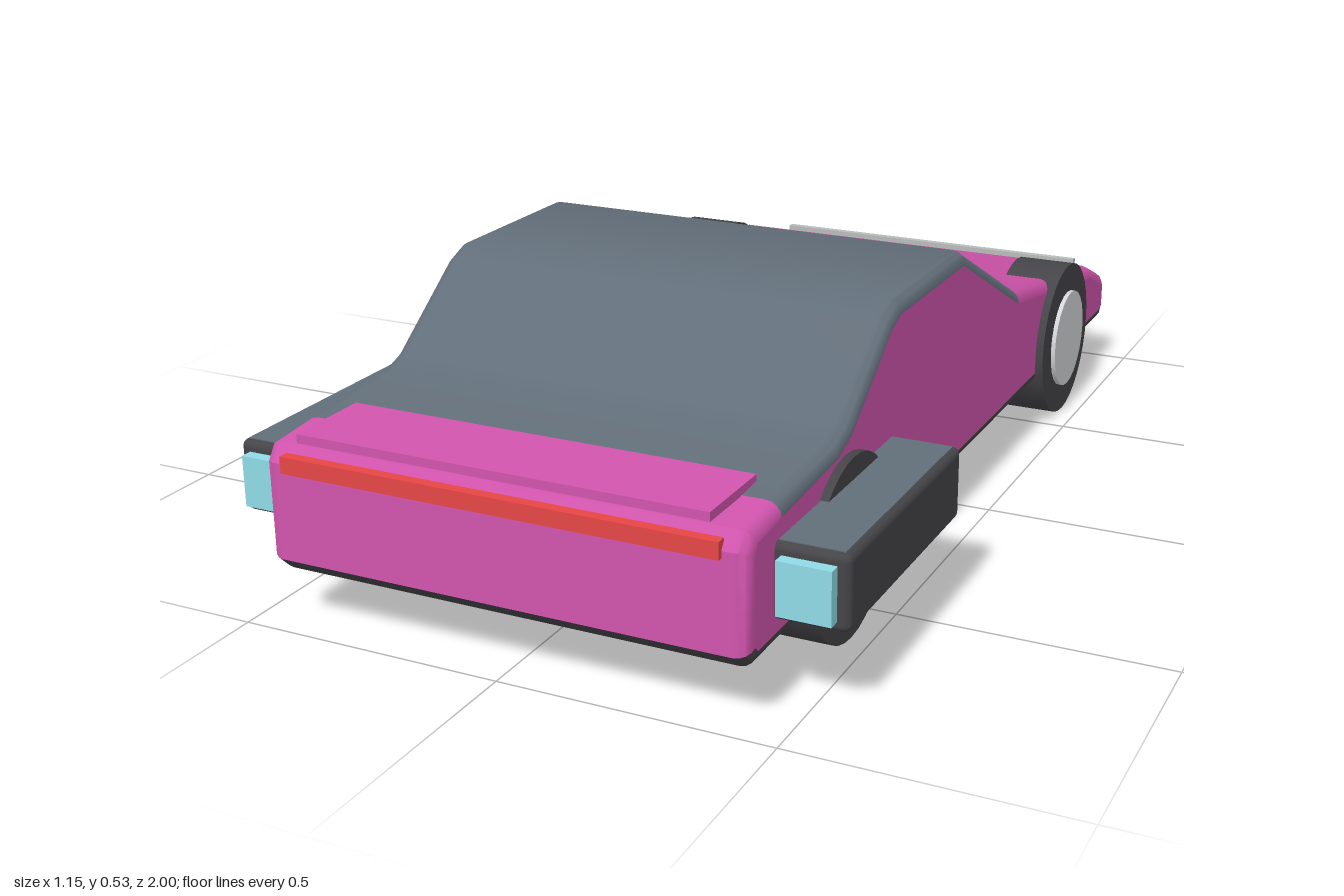
import * as THREE from 'three';
import { toCreasedNormals } from 'three/addons/utils/BufferGeometryUtils.js';
import { RoundedBoxGeometry } from 'three/addons/geometries/RoundedBoxGeometry.js';

const mat = (name, color) => {
  const m = new THREE.MeshStandardMaterial({ color });
  m.name = name;
  return m;
};

// Bevelled side profile; triangles sorted into paint, glass and underside groups
function bodyGeometry() {
  const profile = [
    [0.965, 0.105], [0.99, 0.13], [0.99, 0.305], [0.97, 0.336], [0.87, 0.345],
    [0.65, 0.36], [0.6, 0.378], [0.425, 0.508], [0.375, 0.528], [0.04, 0.528],
    [-0.315, 0.352], [-0.86, 0.258], [-0.966, 0.213], [-0.985, 0.19],
    [-0.985, 0.13], [-0.96, 0.105],
  ];
  const bevel = 0.026, halfWidth = 0.447;
  const depth = 2 * (halfWidth - bevel);
  const shape = new THREE.Shape(profile.map(([z, y]) => new THREE.Vector2(z, y)));
  let geo = new THREE.ExtrudeGeometry(shape, {
    depth, bevelEnabled: true, bevelSize: bevel, bevelOffset: -bevel,
    bevelThickness: bevel, bevelSegments: 4,
  });
  geo.translate(0, 0, -depth / 2);
  geo.rotateY(-Math.PI / 2);
  geo = toCreasedNormals(geo, 0.5);
  geo.clearGroups();

  const pos = geo.attributes.position, nor = geo.attributes.normal;
  const lists = [[], [], []];
  const tri = new THREE.Triangle(), n = new THREE.Vector3(), c = new THREE.Vector3();
  for (let i = 0; i < pos.count; i += 3) {
    tri.setFromAttributeAndIndices(pos, i, i + 1, i + 2);
    tri.getNormal(n);
    tri.getMidpoint(c);
    const flank = Math.abs(n.x) > 0.995;
    // Keep the flat flanks and floor evenly shaded
    if (flank || n.y < -0.99) for (let k = 0; k < 3; k++) nor.setXYZ(i + k, n.x, n.y, n.z);
    let group = 0;
    if (!flank && c.y < 0.14) group = 2;
    else if (!flank && c.y > 0.31 && c.z > -0.315 && c.z < 0.87) group = 1;
    lists[group].push(i, i + 1, i + 2);
  }
  geo.setIndex(lists.flat());
  let start = 0;
  lists.forEach((list, g) => {
    geo.addGroup(start, list.length, g);
    start += list.length;
  });
  return geo;
}

export function createModel() {
  const car = new THREE.Group();
  car.name = 'car';

  const paint = mat('pink paint', 0xd255ae);
  const glass = mat('slate glass', 0x626e79);
  const dark = mat('dark rubber', 0x454549);
  const metal = mat('wheel metal', 0xd4d5d8);
  const trim = mat('grey trim', 0xb8bcba);
  const red = mat('red lamp', 0xee4848);
  const teal = mat('teal glow', 0x90dce8);

  const add = (name, geo, material, x, y, z, parent = car) => {
    const mesh = new THREE.Mesh(geo, material);
    mesh.name = name;
    mesh.position.set(x, y, z);
    parent.add(mesh);
    return mesh;
  };

  add('body', bodyGeometry(), [paint, glass, dark], 0, 0, 0);

  // Rear deck panel, tail lamp strip and nose bar
  add('deckPanel', new THREE.BoxGeometry(0.76, 0.016, 0.165), paint, 0, 0.352, 0.898);
  add('tailLamp', new THREE.BoxGeometry(0.806, 0.03, 0.02), red, 0, 0.308, 0.99);
  add('noseBar', new THREE.BoxGeometry(0.735, 0.024, 0.016), trim, 0, 0.22, -0.992);

  // Wheels: tyre with a slightly proud hub on the outer side
  const tyreGeo = new THREE.CylinderGeometry(0.165, 0.165, 0.118, 32).rotateZ(Math.PI / 2);
  const hubGeo = new THREE.CylinderGeometry(0.105, 0.105, 0.07, 24).rotateZ(Math.PI / 2);
  for (const side of [-1, 1]) {
    const label = side > 0 ? 'Left' : 'Right';
    for (const [end, z] of [['nose', -0.61], ['tail', 0.613]]) {
      const wheel = new THREE.Group();
      wheel.name = `${end}${label}Wheel`;
      wheel.position.set(side * 0.404, 0.165, z);
      add('tyre', tyreGeo, dark, 0, 0, 0, wheel);
      add('hub', hubGeo, metal, side * 0.033, 0, 0, wheel);
      car.add(wheel);
    }

    // Side thruster pod with a top plate and a glowing outlet
    const pod = new THREE.Group();
    pod.name = `pod${label}`;
    pod.position.set(side * 0.505, 0.222, 0.645);
    add('podShell', new RoundedBoxGeometry(0.136, 0.133, 0.5, 3, 0.014), dark, 0, 0, 0, pod);
    add('podTopPlate', new THREE.BoxGeometry(0.112, 0.004, 0.476), glass, 0, 0.066, 0, pod);
    add('podOutlet', new THREE.BoxGeometry(0.094, 0.094, 0.04), teal, 0, 0, 0.252, pod);
    car.add(pod);
  }
  return car;
}
